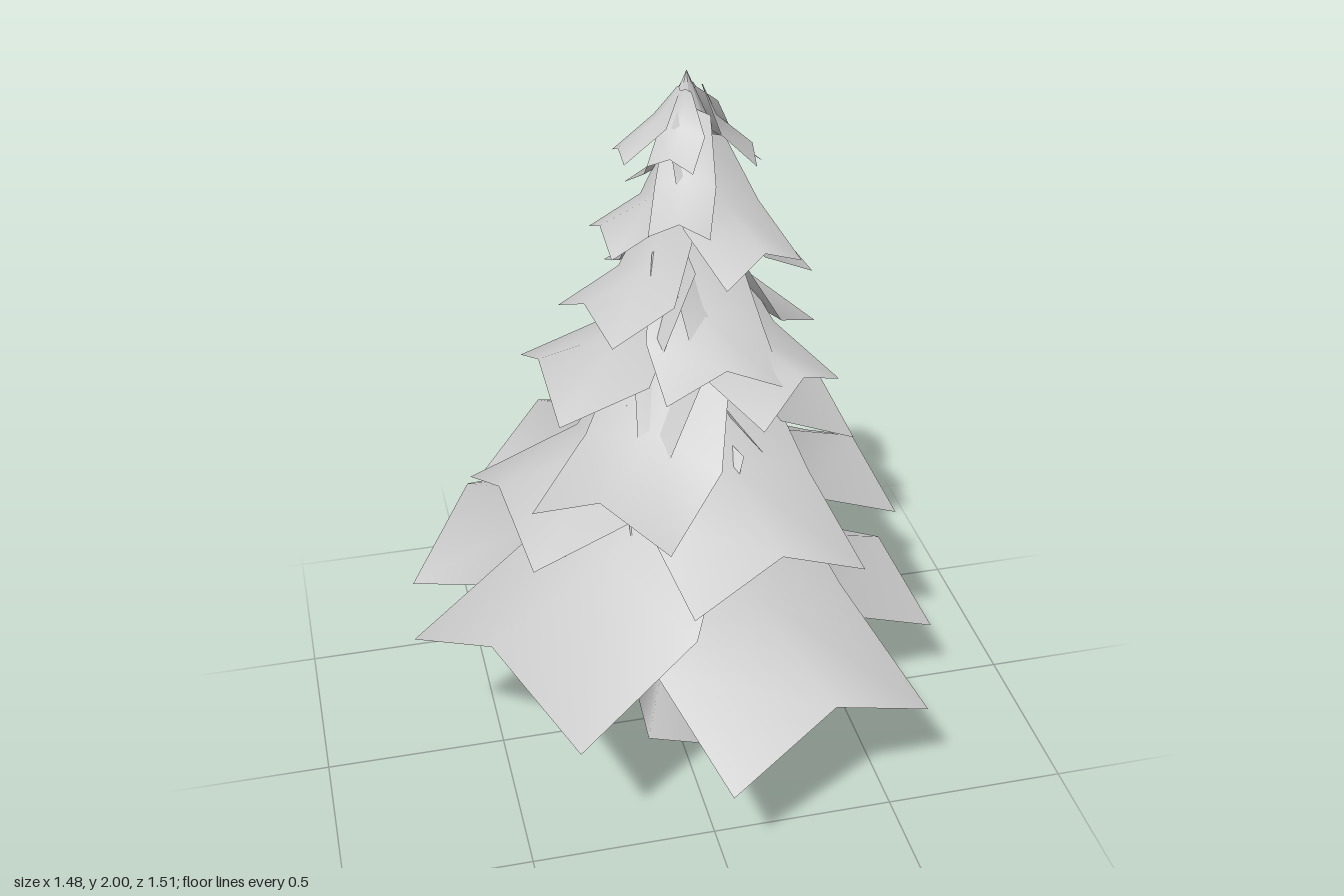
import * as THREE from 'three';

const CX = 0.045; // trunk axis

// Drooping bough: a folded card, steep beside the trunk and shallow from the bend to the tip.
function boughGeometry(reach, width, tipY, bendRise, rise, innerWidth) {
  const sections = [ // distance out, ridge height, width, sag of the side edges
    [0.03, tipY + rise, width * innerWidth, 0.2],
    [reach * 0.42, tipY + bendRise, width, 0.17],
    [reach, tipY, width, 0.24],
  ];
  const pos = [], idx = [];
  for (const [r, y, w, sag] of sections) {
    for (const s of [-1, 0, 1]) pos.push(r, y - Math.abs(s) * w * sag, s * w / 2);
  }
  for (let i = 0; i < 2; i++) for (let j = 0; j < 2; j++) {
    const a = i * 3 + j, b = a + 1, c = a + 3, d = a + 4;
    idx.push(a, b, c, b, d, c);
  }
  const g = new THREE.BufferGeometry();
  g.setAttribute('position', new THREE.Float32BufferAttribute(pos, 3));
  g.setIndex(idx);
  g.computeVertexNormals();
  return g;
}

export function createModel() {
  const tree = new THREE.Group();
  tree.name = 'firTree';
  const grey = new THREE.MeshStandardMaterial({ color: 0xcccccc, side: THREE.DoubleSide });
  grey.name = 'plainGrey';

  // Five-sided trunk with a flared foot
  const corner = THREE.MathUtils.degToRad(147);
  const profile = [[0.162, 0], [0.1, 0.25], [0.085, 0.45], [0.06, 0.9], [0.04, 1.4], [0.015, 1.85]]
    .map(([r, y]) => new THREE.Vector2(r, y));
  const trunk = new THREE.Mesh(new THREE.LatheGeometry(profile, 5, Math.PI / 2 - corner), grey);
  trunk.name = 'trunk';
  trunk.position.x = CX;
  tree.add(trunk);

  const base = new THREE.Mesh(new THREE.CircleGeometry(0.162, 5, corner), grey);
  base.name = 'trunkBase';
  base.rotation.x = Math.PI / 2;
  base.position.x = CX;
  tree.add(base);

  // Boughs by tier: heading in degrees (from +x towards +z), reach, width, ridge height at the tip
  const tiers = [
    [[-73, 0.71, 0.56, 0.515], [-141, 0.71, 0.63, 0.6], [148, 0.715, 0.655, 0.645], [70, 0.685, 0.63, 0.5], [-15.5, 0.645, 0.57, 0.41]],
    [[-130, 0.53, 0.48, 0.88], [-14, 0.52, 0.48, 0.81], [77, 0.525, 0.49, 0.9], [169, 0.54, 0.48, 0.945]],
    [[-108, 0.425, 0.4, 1.1], [-13, 0.39, 0.41, 1.06], [131, 0.48, 0.4, 1.03]],
    [[51, 0.36, 0.33, 1.27], [-49, 0.375, 0.38, 1.27], [175, 0.405, 0.385, 1.27]],
    [[161, 0.31, 0.27, 1.45], [-93, 0.275, 0.31, 1.45], [86, 0.305, 0.31, 1.33], [-27, 0.29, 0.3, 1.49]],
    [[62, 0.275, 0.25, 1.61], [175, 0.235, 0.2, 1.62], [-47, 0.23, 0.17, 1.73], [-102, 0.215, 0.17, 1.67], [110, 0.235, 0.15, 1.7]],
    [[175, 0.185, 0.1, 1.82], [-92, 0.15, 0.13, 1.82], [5, 0.155, 0.14, 1.8], [125, 0.135, 0.12, 1.82]],
  ];
  const slopes = [0.16, 0.16, 0.16, 0.17, 0.2, 0.3, 0.45]; // rise of the bend for each unit of reach
  tiers.forEach((tier, n) => {
    const group = new THREE.Group();
    group.name = `boughTier${n + 1}`;
    group.position.x = CX;
    const top = n === tiers.length - 1;
    tier.forEach(([deg, reach, width, y]) => {
      const heading = THREE.MathUtils.degToRad(deg);
      const bendRise = reach * (slopes[n] + 0.06 * Math.cos(heading));
      const rise = top ? 1.96 - y : 0.1 + reach * 0.5;
      const bough = new THREE.Mesh(boughGeometry(reach, width, y, bendRise, rise, top ? 0.25 : 0.7), grey);
      bough.name = 'bough';
      bough.rotation.y = -heading;
      group.add(bough);
    });
    tree.add(group);
  });

  // Pointed crown
  const crown = new THREE.Mesh(new THREE.ConeGeometry(0.065, 0.15, 8, 1, true), grey);
  crown.name = 'crown';
  crown.position.set(0.035, 1.925, 0);
  tree.add(crown);
  return tree;
}
